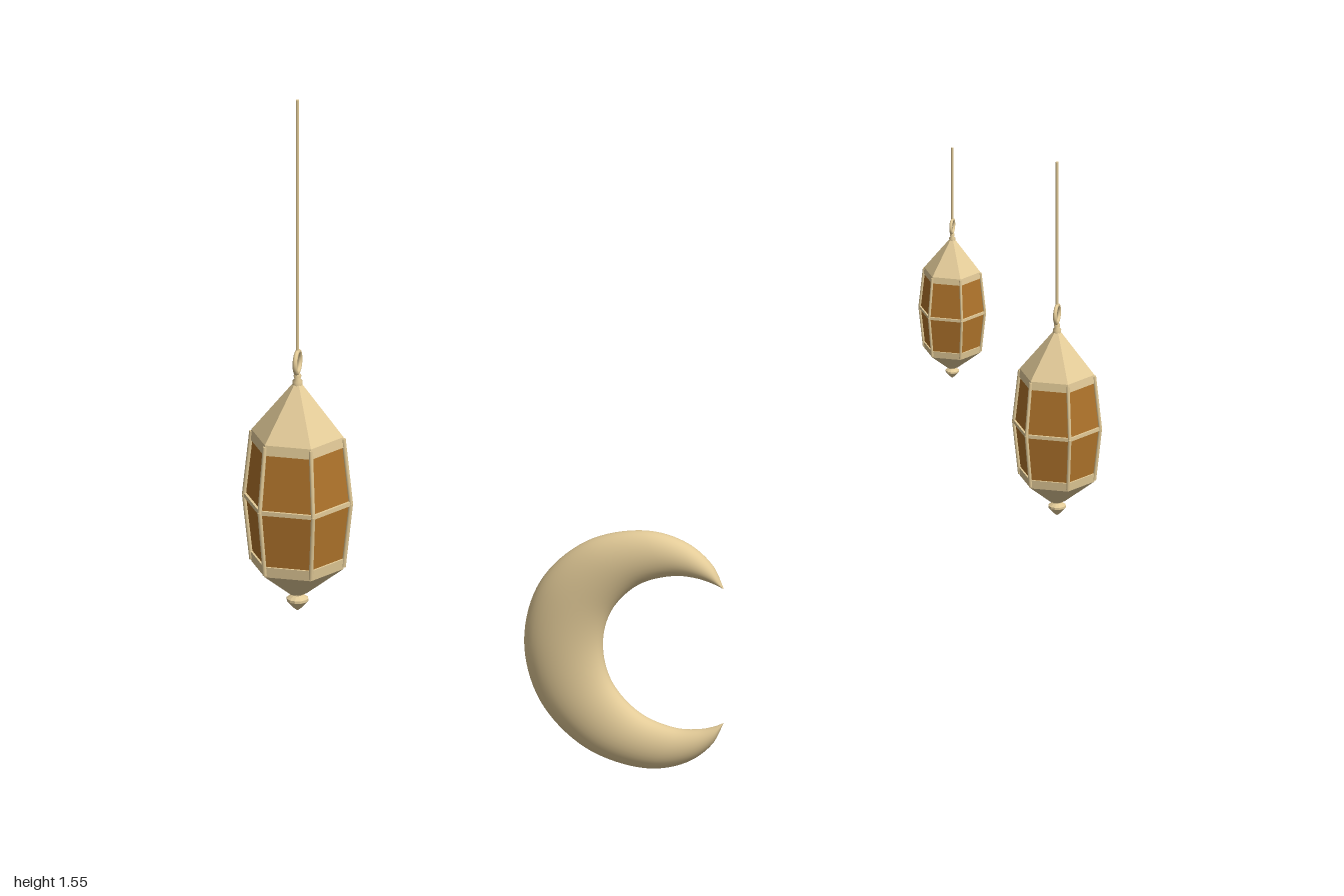
import * as THREE from 'three';

const brass = new THREE.MeshStandardMaterial({ color: 0xe3cb98 });
const brassFlat = new THREE.MeshStandardMaterial({ color: 0xe3cb98, flatShading: true });
const amber = new THREE.MeshStandardMaterial({ color: 0xb0742b, flatShading: true });

function add(parent, name, geometry, material) {
  const mesh = new THREE.Mesh(geometry, material);
  mesh.name = name;
  parent.add(mesh);
  return mesh;
}

// Six-sided frustum between two heights, with corners on the x axis
function hex(parent, name, y0, r0, y1, r1, material, open = false) {
  const geo = new THREE.CylinderGeometry(r1, r0, y1 - y0, 6, 1, open, Math.PI / 6);
  geo.translate(0, (y0 + y1) / 2, 0);
  return add(parent, name, geo, material);
}

// Round bar between two points
function bar(parent, name, a, b, radius, sides = 8) {
  const dir = b.clone().sub(a);
  const mesh = add(parent, name, new THREE.CylinderGeometry(radius, radius, dir.length(), sides), brass);
  mesh.position.copy(a).lerp(b, 0.5);
  mesh.quaternion.setFromUnitVectors(new THREE.Vector3(0, 1, 0), dir.normalize());
  return mesh;
}

// Hanging lantern, origin at its middle rail; ropeTop is in the same local units
function lantern(ropeTop) {
  const g = new THREE.Group();
  const MID = 0.124, END = 0.107;

  // Amber panes, two tiers
  hex(g, 'lowerPanes', -0.15, END - 0.004, 0, MID - 0.004, amber);
  hex(g, 'upperPanes', 0, MID - 0.004, 0.15, END - 0.004, amber);

  // Bands, roof and tapered base
  hex(g, 'middleRail', -0.005, MID + 0.002, 0.005, MID + 0.002, brassFlat);
  hex(g, 'upperBand', 0.135, END + 0.003, 0.159, END, brassFlat);
  hex(g, 'lowerBand', -0.16, END, -0.135, END + 0.003, brassFlat);
  hex(g, 'roof', 0.159, END, 0.28, 0.01, brassFlat);
  hex(g, 'base', -0.226, 0.022, -0.16, END, brassFlat);

  // Corner struts
  for (let i = 0; i < 6; i++) {
    const a = (i * Math.PI) / 3;
    const at = (r, y) => new THREE.Vector3(r * Math.cos(a), y, r * Math.sin(a));
    bar(g, 'lowerStrut', at(END, -0.155), at(MID, 0), 0.005);
    bar(g, 'upperStrut', at(MID, 0), at(END, 0.155), 0.005);
  }

  // Finial below the base
  const finial = [[0, -0.27], [0.01, -0.262], [0.025, -0.245], [0.025, -0.239], [0.013, -0.231], [0.014, -0.22]];
  add(g, 'finial', new THREE.LatheGeometry(finial.map(p => new THREE.Vector2(...p)), 12), brassFlat);

  // Stem, ring and rope
  const neck = [[0.011, 0.272], [0.012, 0.285], [0.007, 0.291], [0.009, 0.298], [0.005, 0.306], [0, 0.307]];
  add(g, 'stem', new THREE.LatheGeometry(neck.map(p => new THREE.Vector2(...p)), 12), brass);
  const ring = add(g, 'hangingRing', new THREE.TorusGeometry(0.025, 0.0055, 8, 28), brass);
  ring.rotation.y = Math.PI / 2;
  ring.position.y = 0.331;
  bar(g, 'rope', new THREE.Vector3(0, 0.353, 0), new THREE.Vector3(0, ropeTop, 0), 0.004);
  return g;
}

// Crescent swept from elliptical sections between its outer and inner outlines
function crescentGeometry() {
  const CY = 0.29, DEPTH = 0.048;
  const tip = [0.118, 0.452];
  const outer = [[-0.345, CY], [-0.308, 0.433], [-0.203, 0.538], [-0.065, 0.576], [0.03, 0.555], [0.09, 0.507], tip];
  const inner = [[-0.163, CY], [-0.142, 0.378], [-0.077, 0.447], [0.004, 0.475], [0.06, 0.473], [0.095, 0.463], tip];
  const outline = pts => {
    const lower = pts.slice(1).reverse().map(([x, y]) => [x, 2 * CY - y]);
    return new THREE.CatmullRomCurve3([...lower, ...pts].map(([x, y]) => new THREE.Vector3(x, y, 0)));
  };
  const co = outline(outer), ci = outline(inner);
  const N = 96, M = 32, pos = [], idx = [];
  for (let i = 0; i <= N; i++) {
    const o = co.getPoint(i / N), n = ci.getPoint(i / N);
    const c = o.clone().lerp(n, 0.5), h = o.clone().sub(c);
    const d = DEPTH * Math.pow(Math.min(1, h.length() / 0.091), 0.75);
    for (let j = 0; j < M; j++) {
      const a = (j / M) * Math.PI * 2;
      pos.push(c.x + h.x * Math.cos(a), c.y + h.y * Math.cos(a), d * Math.sin(a));
    }
  }
  for (let i = 0; i < N; i++) {
    for (let j = 0; j < M; j++) {
      const k = (j + 1) % M;
      const a = i * M + j, b = i * M + k, c = a + M, e = b + M;
      idx.push(a, b, c, b, e, c);
    }
  }
  const geo = new THREE.BufferGeometry();
  geo.setAttribute('position', new THREE.Float32BufferAttribute(pos, 3));
  geo.setIndex(idx);
  geo.computeVertexNormals();
  return geo;
}

export function createModel() {
  const model = new THREE.Group();
  model.name = 'moonAndLanterns';

  const moon = add(model, 'crescentMoon', crescentGeometry(), brass);
  moon.position.z = 0.044;

  // name, x, middle height, z, scale, rope top
  const placements = [
    ['largeLantern', -0.872, 0.58, 0.042, 1, 1.545],
    ['mediumLantern', 0.891, 0.919, 0.042, 0.81, 1.555],
    ['smallLantern', 0.616, 1.123, -0.09, 0.61, 1.515],
  ];
  for (const [name, x, y, z, s, top] of placements) {
    const l = lantern((top - y) / s);
    l.name = name;
    l.position.set(x, y, z);
    l.scale.setScalar(s);
    model.add(l);
  }
  return model;
}
